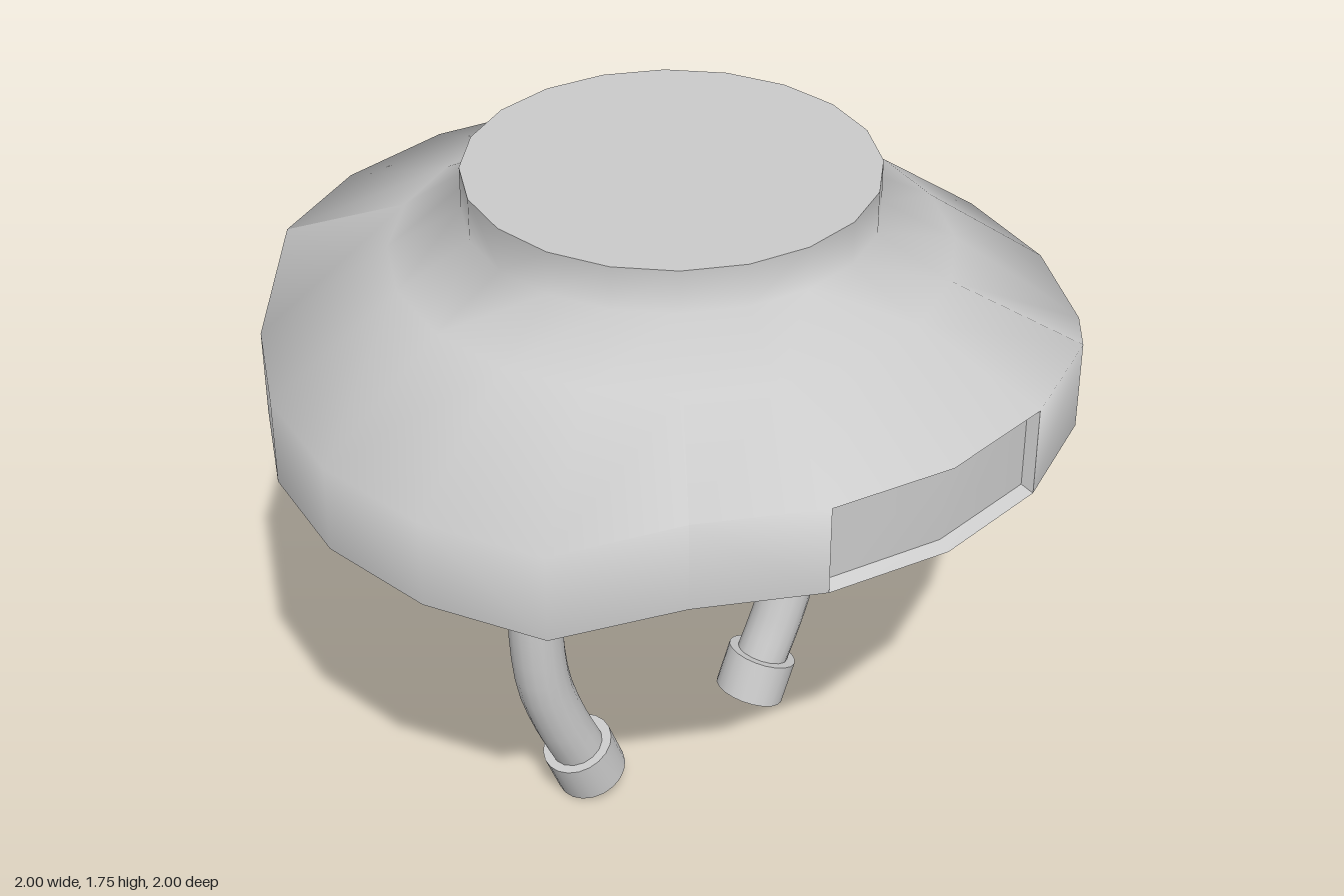
import * as THREE from 'three';
import { toCreasedNormals } from 'three/addons/utils/BufferGeometryUtils.js';

const SIDES = 20;
const material = new THREE.MeshStandardMaterial({ color: 0xcccccc });

function named(name, geometry) {
  const mesh = new THREE.Mesh(geometry, material);
  mesh.name = name;
  return mesh;
}

// Collects quads; the flip flag picks the other diagonal
function quadBuilder() {
  const pos = [];
  return {
    quad(a, b, c, d, flip = false) {
      const order = flip ? [a, b, d, b, c, d] : [a, b, c, a, c, d];
      order.forEach((p) => pos.push(...p));
    },
    build(crease) {
      const g = new THREE.BufferGeometry();
      g.setAttribute('position', new THREE.Float32BufferAttribute(pos, 3));
      return toCreasedNormals(g, crease);
    },
  };
}

// Point on the body; the rim is raised at the front and back, lowered at the sides
function ringPoint(r, y, j, bends) {
  const a = (j / SIDES) * Math.PI * 2;
  const lift = bends && Math.abs(Math.sin(a)) > 0.7 ? 0.115 : 0;
  return [r * Math.cos(a), y + lift, r * Math.sin(a)];
}

// Crown wall, drooping brim and its hollow underside
function makeBrim() {
  const profile = [
    [0.5, 1.76], [0.5, 1.65], [0.68, 1.55],
    [1, 1.315, true], [1, 1.09, true],
    [0.68, 1.205], [0.68, 1.42], [0.5, 1.5],
  ];
  const b = quadBuilder();
  for (let i = 0; i < profile.length - 1; i++) {
    const [r0, y0, bend0] = profile[i];
    const [r1, y1, bend1] = profile[i + 1];
    for (let j = 0; j < SIDES; j++) {
      // leave the front of the rim open for the recessed panel
      if (i === 3 && (j === 4 || j === 5)) continue;
      const rising = Math.sin(((j + 0.5) / SIDES) * Math.PI * 4) > 0;
      b.quad(
        ringPoint(r0, y0, j, bend0), ringPoint(r0, y0, j + 1, bend0),
        ringPoint(r1, y1, j + 1, bend1), ringPoint(r1, y1, j, bend1),
        i < 3 ? rising : !rising,
      );
    }
  }
  return b.build(1.3);
}

// Shallow panel sunk into the front of the rim, with a bevelled frame
function makePanel() {
  const b = quadBuilder();
  const outer = (y) => [4, 5, 6].map((j) => ringPoint(1, y, j, true));
  const inner = (y) => [[0.295, y, 0.925], [0, y, 0.97], [-0.295, y, 0.925]];
  const rows = [outer(1.315), inner(1.412), inner(1.222), outer(1.09)];
  for (let r = 0; r < 3; r++) {
    for (let k = 0; k < 2; k++) {
      b.quad(rows[r][k], rows[r][k + 1], rows[r + 1][k + 1], rows[r + 1][k]);
    }
  }
  b.quad(rows[0][0], rows[1][0], rows[2][0], rows[3][0]);
  b.quad(rows[0][2], rows[3][2], rows[2][2], rows[1][2]);
  return b.build(0.5);
}

// Curved hose with an open-ended nozzle
function makeHose(side) {
  const group = new THREE.Group();
  group.name = side > 0 ? 'leftHose' : 'rightHose';
  const path = new THREE.CatmullRomCurve3(
    [[0.385, 1.03], [0.392, 0.93], [0.43, 0.72], [0.434, 0.58], [0.415, 0.41], [0.365, 0.26], [0.31, 0.14]]
      .map(([x, y]) => new THREE.Vector3(side * x, y, 0)),
  );
  group.add(named('hose', new THREE.TubeGeometry(path, 14, 0.07, 16)));

  const points = [[0.06, 0.06], [0.094, 0.06], [0.094, -0.06], [0.068, -0.06], [0.068, 0.02], [0, 0.02]]
    .reverse().map(([x, y]) => new THREE.Vector2(x, y));
  const nozzle = named('nozzle', toCreasedNormals(new THREE.LatheGeometry(points, 20), 0.7));
  nozzle.position.set(side * 0.293, 0.098, 0);
  nozzle.rotation.z = -side * 0.38;
  group.add(nozzle);
  return group;
}

export function createModel() {
  const model = new THREE.Group();
  model.name = 'hangingHood';

  // Top lid and the central drum below the brim
  const lid = named('topLid', new THREE.CircleGeometry(0.5, SIDES));
  lid.rotation.x = -Math.PI / 2;
  lid.position.y = 1.76;
  const drum = named('drum', new THREE.CylinderGeometry(0.5, 0.5, 0.49, SIDES));
  drum.position.y = 1.255;

  model.add(lid, drum, named('brim', makeBrim()), named('frontPanel', makePanel()));
  for (const side of [1, -1]) model.add(makeHose(side));
  return model;
}
